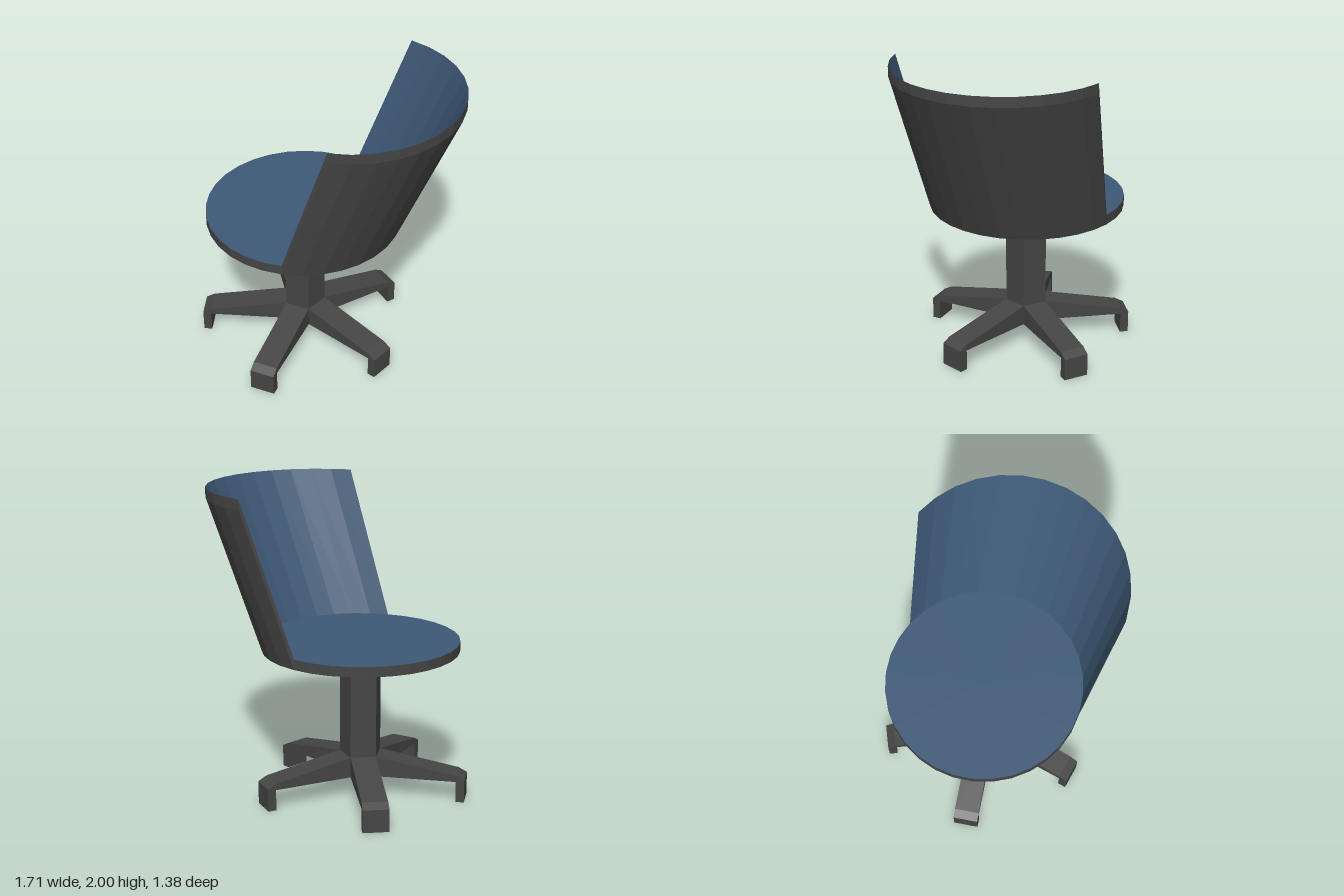
import * as THREE from 'three';

const dark = new THREE.MeshStandardMaterial({ color: 0x454545, flatShading: true });
const blue = new THREE.MeshStandardMaterial({ color: 0x3e5a78, flatShading: true });

const SEAT_X = -0.167, SEAT_R = 0.635, BASE_X = -0.172;
const SEAT_LOW = 0.975, SEAT_TOP = 1.04;
const STEP = Math.PI / 16; // 32-sided seat
const HALF = 7;            // backrest spans 7 facets to each side

function add(parent, name, geometry, material) {
  const mesh = new THREE.Mesh(geometry, material);
  mesh.name = name;
  parent.add(mesh);
  return mesh;
}

// Points of the backrest arc around (cx, y)
function arc(cx, r, y) {
  const points = [];
  for (let k = -HALF; k <= HALF; k++) {
    points.push([cx + r * Math.cos(k * STEP), y, r * Math.sin(k * STEP)]);
  }
  return points;
}

// Row of quads between two equally long point rows
function strip(low, high) {
  const pos = [];
  for (let i = 0; i < low.length - 1; i++) {
    pos.push(...low[i], ...high[i], ...high[i + 1]);
    pos.push(...low[i], ...high[i + 1], ...low[i + 1]);
  }
  const g = new THREE.BufferGeometry();
  g.setAttribute('position', new THREE.Float32BufferAttribute(pos, 3));
  g.computeVertexNormals();
  return g;
}

function createSeat() {
  const seat = new THREE.Group();
  seat.name = 'seat';
  const disc = new THREE.CircleGeometry(SEAT_R, 32);
  add(seat, 'seatCushion', disc.clone().rotateX(-Math.PI / 2), blue).position.set(SEAT_X, SEAT_TOP, 0);
  add(seat, 'seatUnderside', disc.clone().rotateX(Math.PI / 2), dark).position.set(SEAT_X, SEAT_LOW, 0);
  // Rim only where the backrest does not cover it
  const rim = new THREE.CylinderGeometry(SEAT_R, SEAT_R, SEAT_TOP - SEAT_LOW, 18, 1, true,
    Math.PI / 2 + HALF * STEP, 18 * STEP);
  add(seat, 'seatRim', rim, dark).position.set(SEAT_X, (SEAT_LOW + SEAT_TOP) / 2, 0);
  return seat;
}

// Leaning, slightly flaring shell that rises from the seat's edge
function createBackrest() {
  const back = new THREE.Group();
  back.name = 'backrest';
  const outLow = arc(SEAT_X, SEAT_R, SEAT_LOW), inLow = arc(SEAT_X, SEAT_R, SEAT_TOP);
  const outTop = arc(0.151, 0.704, 1.935), inTop = arc(0.151, 0.704, 2);
  const n = 2 * HALF;
  add(back, 'backrestShell', strip(outLow, outTop), dark);
  add(back, 'backrestTopRim', strip(outTop, inTop), dark);
  add(back, 'backrestLining', strip(inTop, inLow), blue);
  add(back, 'backrestRightEdge', strip([inLow[0], outLow[0]], [inTop[0], outTop[0]]), dark);
  add(back, 'backrestLeftEdge', strip([outLow[n], inLow[n]], [outTop[n], inTop[n]]), dark);
  return back;
}

// Five-sided column with one leg on each side
function createBase() {
  const base = new THREE.Group();
  base.name = 'base';
  base.position.x = BASE_X;
  const low = 0.137, radius = 0.14;
  const column = new THREE.CylinderGeometry(radius, radius, SEAT_LOW - low, 5).rotateY(Math.PI);
  add(base, 'column', column, dark).position.y = (SEAT_LOW + low) / 2;

  const inner = radius * Math.cos(Math.PI / 5);
  const width = 2 * radius * Math.sin(Math.PI / 5);
  const profile = new THREE.Shape([
    [inner, low], [0.635, low], [0.635, 0], [0.69, 0], [0.69, 0.148], [0.635, 0.178], [inner, 0.272],
  ].map(([r, y]) => new THREE.Vector2(r, y)));
  const leg = new THREE.ExtrudeGeometry(profile, { depth: width, bevelEnabled: false });
  leg.translate(0, 0, -width / 2);
  for (let i = 0; i < 5; i++) {
    add(base, 'leg' + (i + 1), leg, dark).rotation.y = -Math.PI / 2 + i * Math.PI * 2 / 5;
  }
  return base;
}

export function createModel() {
  const chair = new THREE.Group();
  chair.name = 'swivelChair';
  chair.add(createSeat(), createBackrest(), createBase());
  return chair;
}
